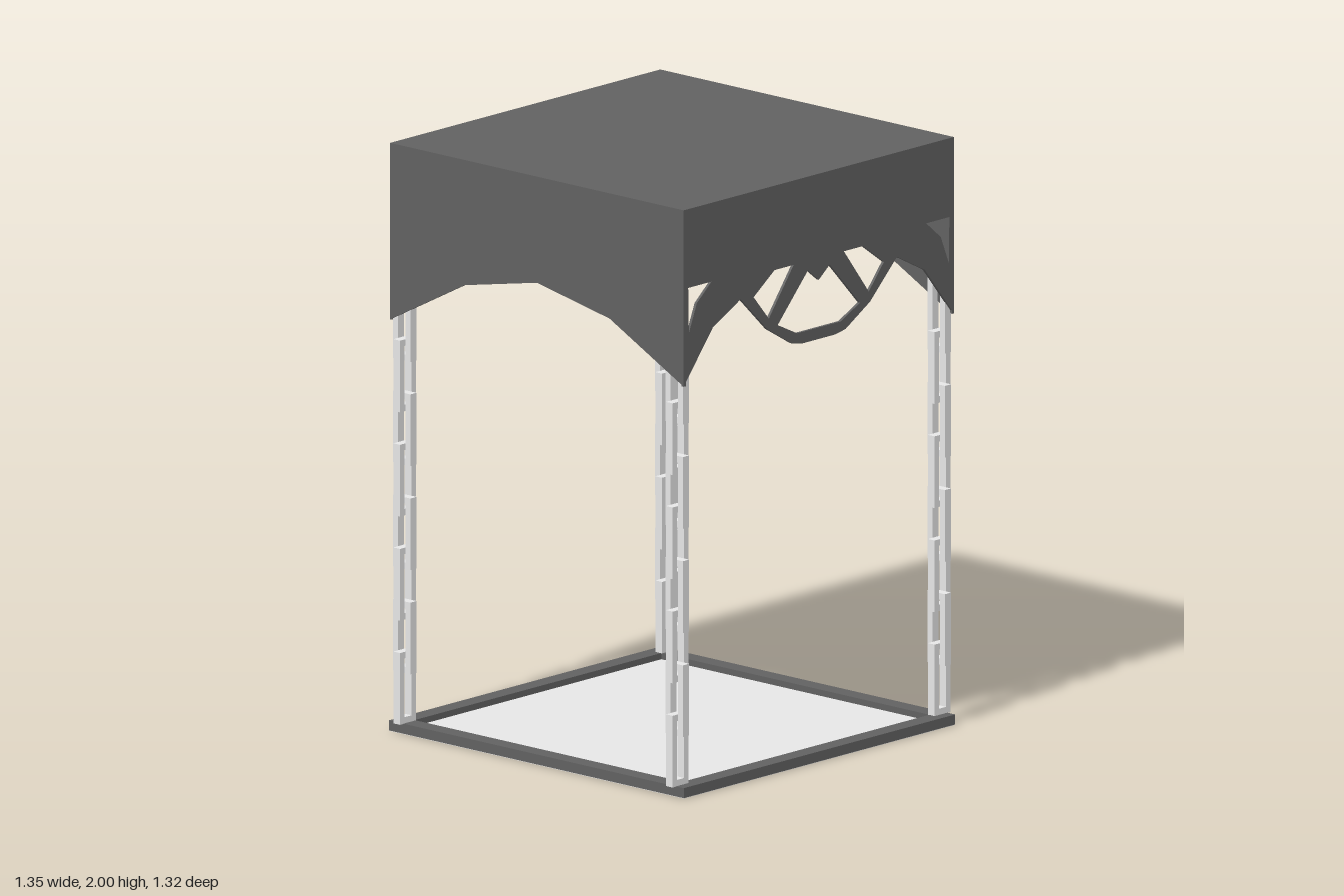
import * as THREE from 'three';

const flat = (name, color) => {
  const m = new THREE.MeshStandardMaterial({ color });
  m.name = name;
  return m;
};

const R = 0.657;   // half width of the canopy
const T = 0.01;    // sheet thickness

// Left half of an outline (running towards the middle) completed by its mirror image
const mirrored = half => {
  const other = half.filter(p => p[0] !== 0).map(([x, y]) => [-x, y]).reverse();
  return half.concat(other);
};
const toPoints = pts => pts.map(([x, y]) => new THREE.Vector2(x, y));

function sheet(outline, holes, depth) {
  const shape = new THREE.Shape(toPoints(outline));
  holes.forEach(h => shape.holes.push(new THREE.Path(toPoints(h))));
  return new THREE.ExtrudeGeometry(shape, { depth, bevelEnabled: false });
}

const rect = (w, h) => [[-w, -h], [w, -h], [w, h], [-w, h]];

export function createModel() {
  const dark = flat('dark iron', 0x616161);
  const pale = flat('pale steel', 0xe6e6e6);

  const model = new THREE.Group();
  model.name = 'hangingPlatform';
  const add = (parent, name, geometry, material, x = 0, y = 0, z = 0) => {
    const mesh = new THREE.Mesh(geometry, material);
    mesh.name = name;
    mesh.position.set(x, y, z);
    parent.add(mesh);
    return mesh;
  };

  // Canopy roof
  const canopy = new THREE.Group();
  canopy.name = 'canopy';
  model.add(canopy);
  add(canopy, 'roof', new THREE.BoxGeometry(2 * R, T, 2 * R), dark, 0, 2 - T / 2, 0);

  // Fretwork valance: arched corners and a half wheel in the middle
  const fretOutline = mirrored([
    [-R, 2], [-R, 1.4], [-0.515, 1.575], [-0.38, 1.645], [-0.25, 1.518], [-0.13, 1.447], [-0.08, 1.438],
  ]);
  const cornerHole = [[-0.635, 1.732], [-0.522, 1.732], [-0.593, 1.672], [-0.632, 1.577]];
  const wheelSide = [[-0.317, 1.64], [-0.215, 1.713], [-0.122, 1.713], [-0.243, 1.553]];
  const wheelMiddle = mirrored([
    [-0.105, 1.477], [-0.2, 1.523], [-0.053, 1.681], [0, 1.639],
  ]);
  const flip = pts => pts.map(([x, y]) => [-x, y]);
  const fret = sheet(fretOutline,
    [cornerHole, flip(cornerHole), wheelSide, flip(wheelSide), wheelMiddle], T);
  add(canopy, 'frontValance', fret, dark, 0, 0, R - T);
  add(canopy, 'backValance', fret, dark, 0, 0, -R);

  // Plain arched side valances
  const side = sheet(mirrored([[-R, 2], [-R, 1.4], [-0.325, 1.574], [0, 1.639]]), [], T);
  for (const [name, x] of [['leftValance', R - T], ['rightValance', -R]]) {
    add(canopy, name, side, dark, x, 0, 0).rotation.y = Math.PI / 2;
  }

  // Base tray: pale floor plate, also seen from below, inside a raised dark rim
  const base = new THREE.Group();
  base.name = 'base';
  model.add(base);
  const B = 0.66, inner = 0.6;
  add(base, 'floor', new THREE.BoxGeometry(2 * B - 0.004, 0.015, 2 * B - 0.004), pale, 0, 0.0075, 0);
  add(base, 'rim', sheet(rect(B, B), [rect(inner, inner)], 0.034), dark, 0, 0.002, 0)
    .rotation.x = -Math.PI / 2;

  // Four chains of square links, each turned a quarter against the next
  const bar = 0.022, depth = 0.03;
  const link = sheet(rect(0.039, 0.122), [rect(0.039 - bar, 0.122 - bar)], depth);
  link.translate(0, 0, -depth / 2);
  for (const sx of [-1, 1]) {
    for (const sz of [-1, 1]) {
      const chain = new THREE.Group();
      chain.name = (sz > 0 ? 'front' : 'back') + (sx > 0 ? 'Left' : 'Right') + 'Chain';
      chain.position.set(sx * 0.637, 0, sz * 0.61);
      model.add(chain);
      for (let i = 0; i < 8; i++) {
        const turned = i % 2;
        add(chain, 'link' + (i + 1), link, pale, 0, 0.157 + i * 0.1771 - turned * 0.006, 0)
          .rotation.y = turned * Math.PI / 2;
      }
    }
  }
  return model;
}
